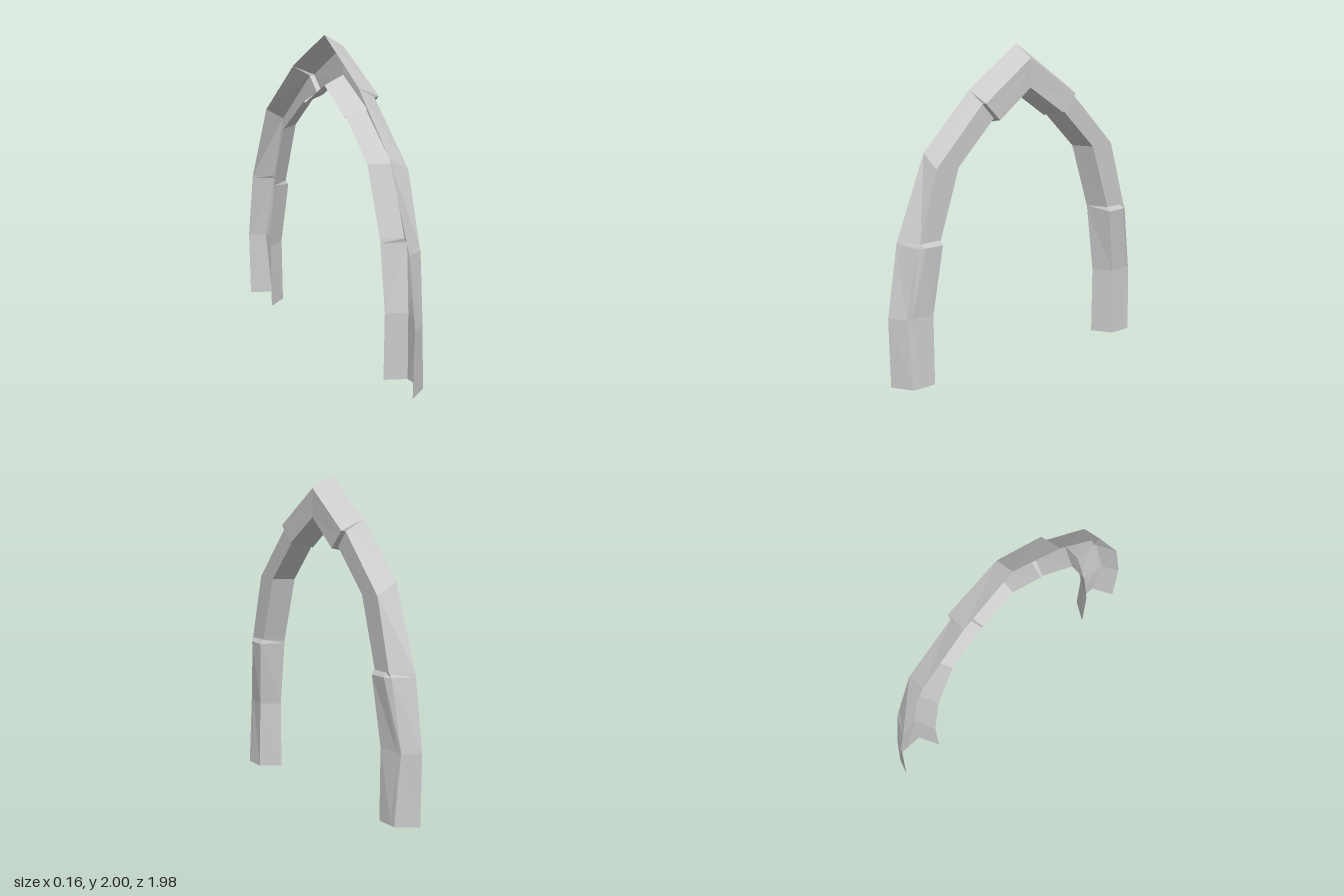
import * as THREE from 'three';

// Each ring is an open section: outer back, outer front, middle front, inner front, inner back.
// Every point is [x, y, z].
const legRings = [
  [[-0.08, 0, 0.98], [0.05, 0, 0.905], [0.05, 0, 0.87], [0.05, 0, 0.75], [-0.08, 0, 0.68]],
  [[-0.08, 0.434, 0.99], [0.02, 0.434, 0.926], [0.025, 0.434, 0.89], [0.045, 0.437, 0.75], [-0.08, 0.437, 0.685]],
  [[-0.08, 0.865, 0.92], [0.045, 0.862, 0.857], [0.07, 0.862, 0.815], [0.07, 0.86, 0.69], [-0.08, 0.86, 0.63]],
  [[-0.08, 0.888, 0.915], [0.05, 0.885, 0.84], [0.05, 0.888, 0.81], [0.05, 0.888, 0.69], [-0.08, 0.888, 0.625]],
];
const ribRings = [
  legRings[3],
  [[-0.08, 1.397, 0.71], [0.05, 1.317, 0.714], [0.05, 1.316, 0.68], [0.05, 1.31, 0.55], [-0.08, 1.31, 0.487]],
  [[-0.07, 1.742, 0.376], [0.05, 1.67, 0.366], [0.05, 1.65, 0.35], [0.05, 1.575, 0.28], [-0.07, 1.545, 0.24]],
];
const crownEnd = [[-0.07, 1.745, 0.374], [0.08, 1.675, 0.364], [0.08, 1.65, 0.34], [0.08, 1.565, 0.255], [-0.07, 1.535, 0.228]];
const crownTop = [[-0.07, 2, 0], [0.065, 1.92, 0], [0.065, 1.87, 0], [0.065, 1.74, 0], [-0.07, 1.69, 0]];

// Mirror front to back, with the ring order reversed so the faces keep facing outward
const mirror = (rings) => rings.map((r) => r.map(([x, y, z]) => [x, y, -z])).reverse();

// Skin a row of rings with flat quads
function skin(rings) {
  const index = [];
  const n = rings[0].length;
  for (let i = 0; i < rings.length - 1; i++) {
    for (let j = 0; j < n - 1; j++) {
      const a = i * n + j, b = a + 1, c = a + n, d = c + 1;
      index.push(a, b, c, b, d, c);
    }
  }
  const geo = new THREE.BufferGeometry();
  geo.setAttribute('position', new THREE.Float32BufferAttribute(rings.flat(2), 3));
  geo.setIndex(index);
  const flat = geo.toNonIndexed();
  flat.computeVertexNormals();
  return flat;
}

export function createModel() {
  const group = new THREE.Group();
  group.name = 'pointedArch';
  const material = new THREE.MeshStandardMaterial({ color: 0xcccccc, flatShading: true, side: THREE.DoubleSide });
  const add = (name, rings) => {
    const mesh = new THREE.Mesh(skin(rings), material);
    mesh.name = name;
    group.add(mesh);
  };

  // Legs with a raised shoulder, and the curved ribs above them
  add('frontLeg', legRings);
  add('backLeg', mirror(legRings));
  add('frontRib', ribRings);
  add('backRib', mirror(ribRings));

  // Thicker peak block, stepping down onto each rib
  const halfCrown = [ribRings[2], crownEnd];
  add('crown', [...halfCrown, crownTop, ...mirror(halfCrown)]);
  return group;
}
